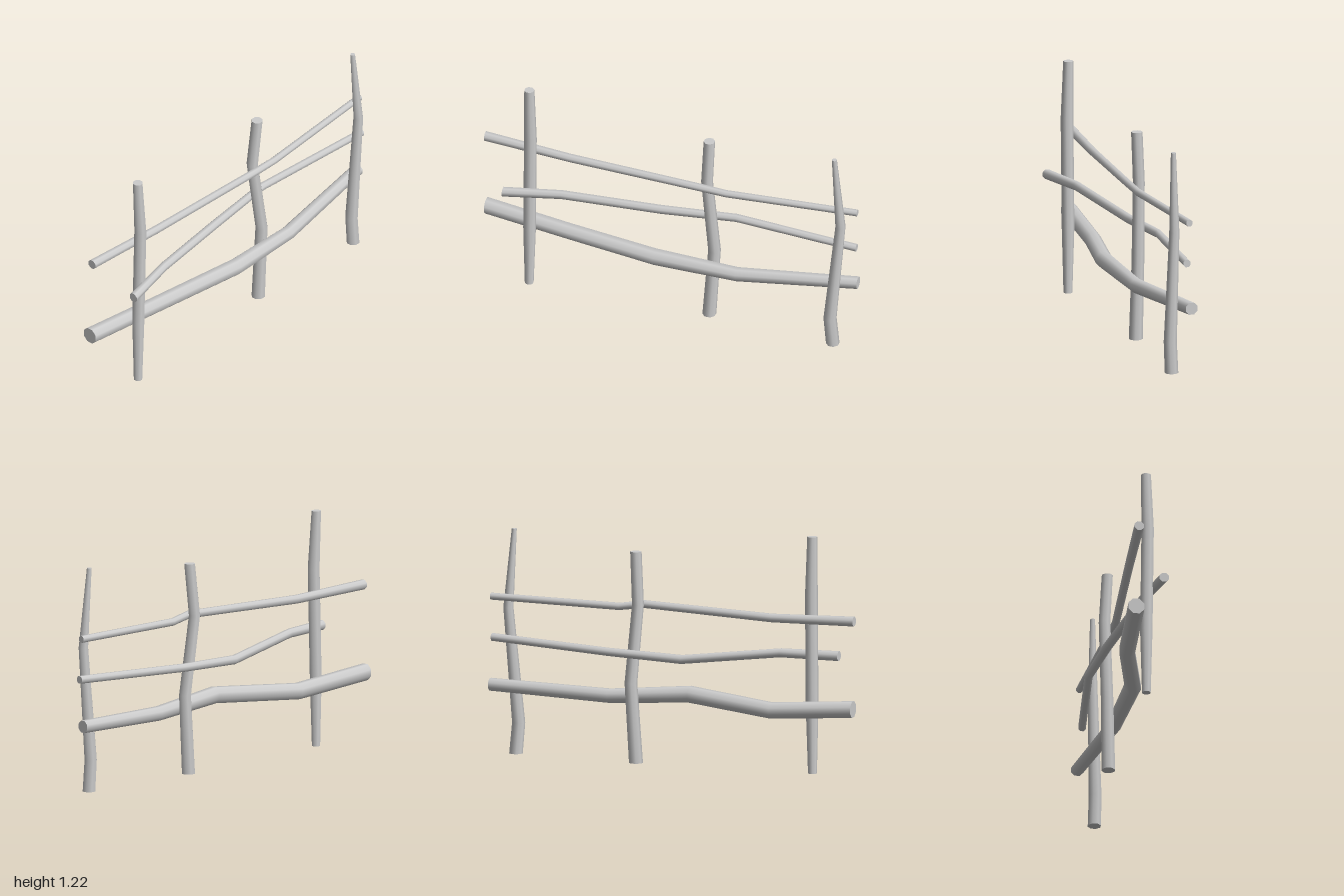
import * as THREE from 'three';

const SIDES = 8;

// Eight-sided crooked pole: a cylinder whose rings are moved to the points
// [x, y, z, halfWidth], listed in rising order along the pole's axis.
function pole(name, points, axis, material) {
  const rows = points.length - 1;
  const geometry = new THREE.CylinderGeometry(1, 1, 1, SIDES, rows, false, Math.PI / SIDES);
  const pos = geometry.attributes.position;
  for (let i = 0; i < pos.count; i++) {
    const [x, y, z, half] = points[Math.round((pos.getY(i) + 0.5) * rows)];
    const r = half / Math.cos(Math.PI / SIDES);
    const c = axis === 'z' ? [x, z, -y] : [x, y, z];
    pos.setXYZ(i, c[0] + r * pos.getX(i), c[1], c[2] + r * pos.getZ(i));
  }
  if (axis === 'z') geometry.rotateX(Math.PI / 2);
  const mesh = new THREE.Mesh(geometry, material);
  mesh.name = name;
  return mesh;
}

// Upright posts, bottom to top
const POSTS = {
  frontPost: [
    [0.02, 0, 0.739, 0.021], [0.02, 0.35, 0.737, 0.03],
    [0.028, 0.92, 0.73, 0.03], [0.018, 1.22, 0.739, 0.024],
  ],
  middlePost: [
    [-0.02, 0, -0.213, 0.033], [-0.022, 0.41, -0.24, 0.03],
    [-0.043, 0.82, -0.193, 0.028], [-0.026, 1.09, -0.211, 0.027],
  ],
  backPost: [
    [0.018, 0, -0.887, 0.032], [0.02, 0.16, -0.873, 0.031],
    [0.017, 0.75, -0.928, 0.024], [0.01, 1.16, -0.893, 0.012],
  ],
};

// Long rails, back to front
const RAILS = {
  bottomRail: [
    [-0.052, 0.36, -1, 0.031], [0.033, 0.327, -0.38, 0.035], [0.063, 0.357, 0.05, 0.041],
    [-0.047, 0.322, 0.54, 0.04], [-0.074, 0.36, 1, 0.041],
  ],
  middleRail: [
    [-0.027, 0.6, -1, 0.019], [-0.102, 0.577, -0.33, 0.02], [-0.073, 0.558, 0.06, 0.022],
    [0.032, 0.608, 0.56, 0.022], [0.093, 0.6, 0.855, 0.024],
  ],
  topRail: [
    [-0.04, 0.812, -1, 0.017], [-0.002, 0.797, -0.31, 0.018], [0.013, 0.815, -0.18, 0.019],
    [-0.037, 0.797, 0.54, 0.021], [-0.059, 0.811, 1, 0.024],
  ],
};

export function createModel() {
  const wood = new THREE.MeshStandardMaterial({ color: 0xcccccc });
  wood.name = 'paleGreyWood';

  const fence = new THREE.Group();
  fence.name = 'crookedPoleFence';
  for (const [name, points] of Object.entries(POSTS)) fence.add(pole(name, points, 'y', wood));
  for (const [name, points] of Object.entries(RAILS)) fence.add(pole(name, points, 'z', wood));
  return fence;
}
